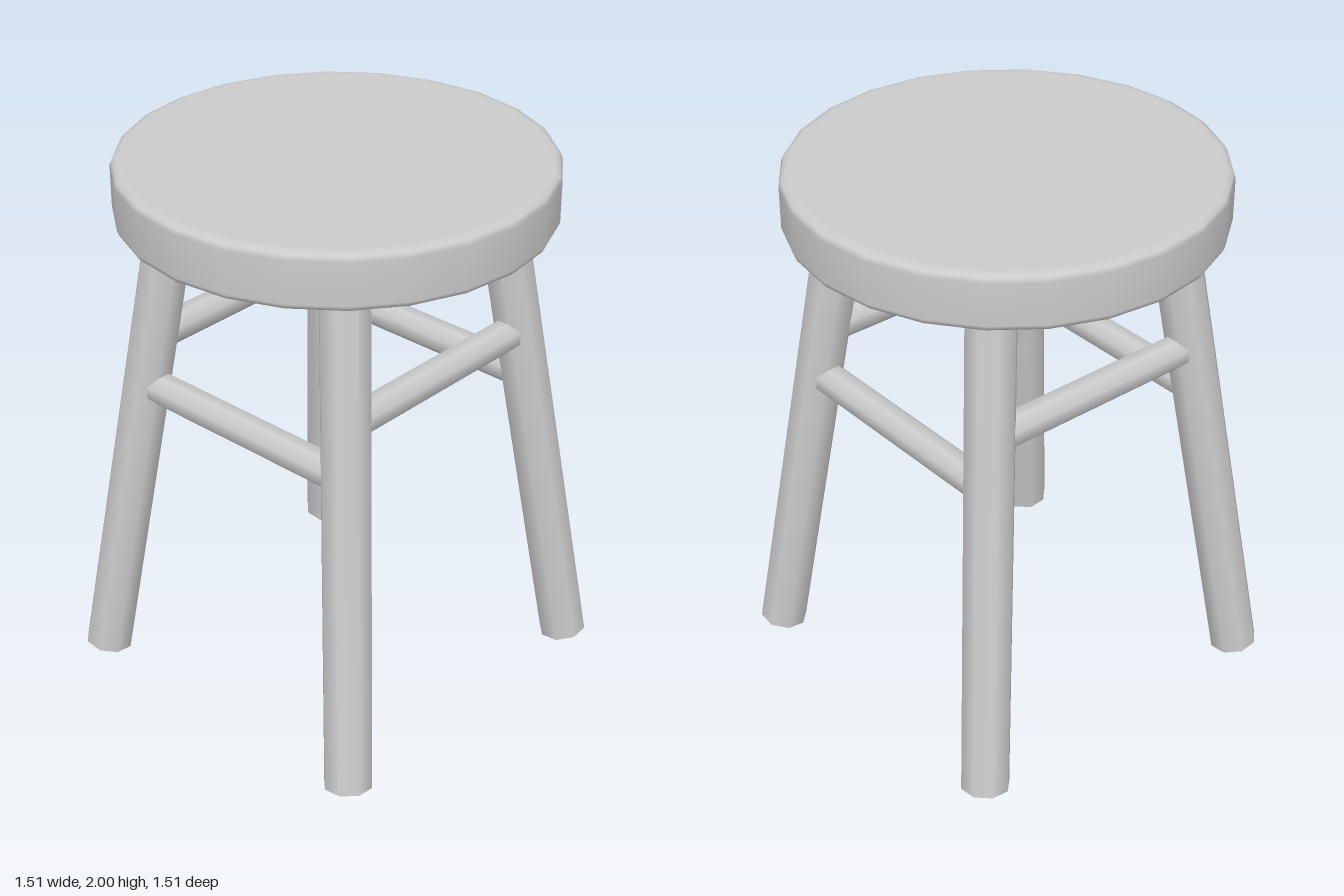
import * as THREE from 'three';

const material = new THREE.MeshStandardMaterial({ color: 0xcccccc });
const SLOPE = 0.123; // outward splay of the legs per unit of height
const legOffset = (y) => 0.612 - SLOPE * (y - 0.015);

// Eight-sided bar between two points, with flats facing the axes
function bar(name, from, to, radius) {
  const dir = to.clone().sub(from);
  const geometry = new THREE.CylinderGeometry(radius, radius, dir.length(), 8).rotateY(Math.PI / 8);
  const mesh = new THREE.Mesh(geometry, material);
  mesh.name = name;
  mesh.position.copy(from).add(to).multiplyScalar(0.5);
  mesh.quaternion.setFromUnitVectors(new THREE.Vector3(0, 1, 0), dir.normalize());
  return mesh;
}

export function createModel() {
  const group = new THREE.Group();
  group.name = 'stool';

  // Round seat with softened rims
  const profile = [
    [0, 1.8], [0.71, 1.8], [0.73, 1.8], [0.748, 1.808], [0.755, 1.825],
    [0.755, 1.975], [0.748, 1.992], [0.73, 2], [0.71, 2], [0, 2],
  ].map(([r, y]) => new THREE.Vector2(r, y));
  const seat = new THREE.Mesh(new THREE.LatheGeometry(profile, 24), material);
  seat.name = 'seat';
  group.add(seat);

  // Four splayed legs, running up into the seat
  const foot = 0.015, head = 1.85;
  for (const sx of [-1, 1]) {
    for (const sz of [-1, 1]) {
      const a = legOffset(foot), b = legOffset(head);
      const name = (sz > 0 ? 'front' : 'back') + (sx > 0 ? 'Left' : 'Right') + 'Leg';
      group.add(bar(name,
        new THREE.Vector3(sx * a, foot, sz * a),
        new THREE.Vector3(sx * b, head, sz * b), 0.088));
    }
  }

  // Rungs: the front and back pair sits higher than the side pair
  for (const s of [-1, 1]) {
    const high = 1.325, low = 1.142;
    const h = legOffset(high), l = legOffset(low);
    group.add(bar(s > 0 ? 'frontRung' : 'backRung',
      new THREE.Vector3(-h, high, s * h), new THREE.Vector3(h, high, s * h), 0.06));
    group.add(bar(s > 0 ? 'leftRung' : 'rightRung',
      new THREE.Vector3(s * l, low, -l), new THREE.Vector3(s * l, low, l), 0.06));
  }

  return group;
}
